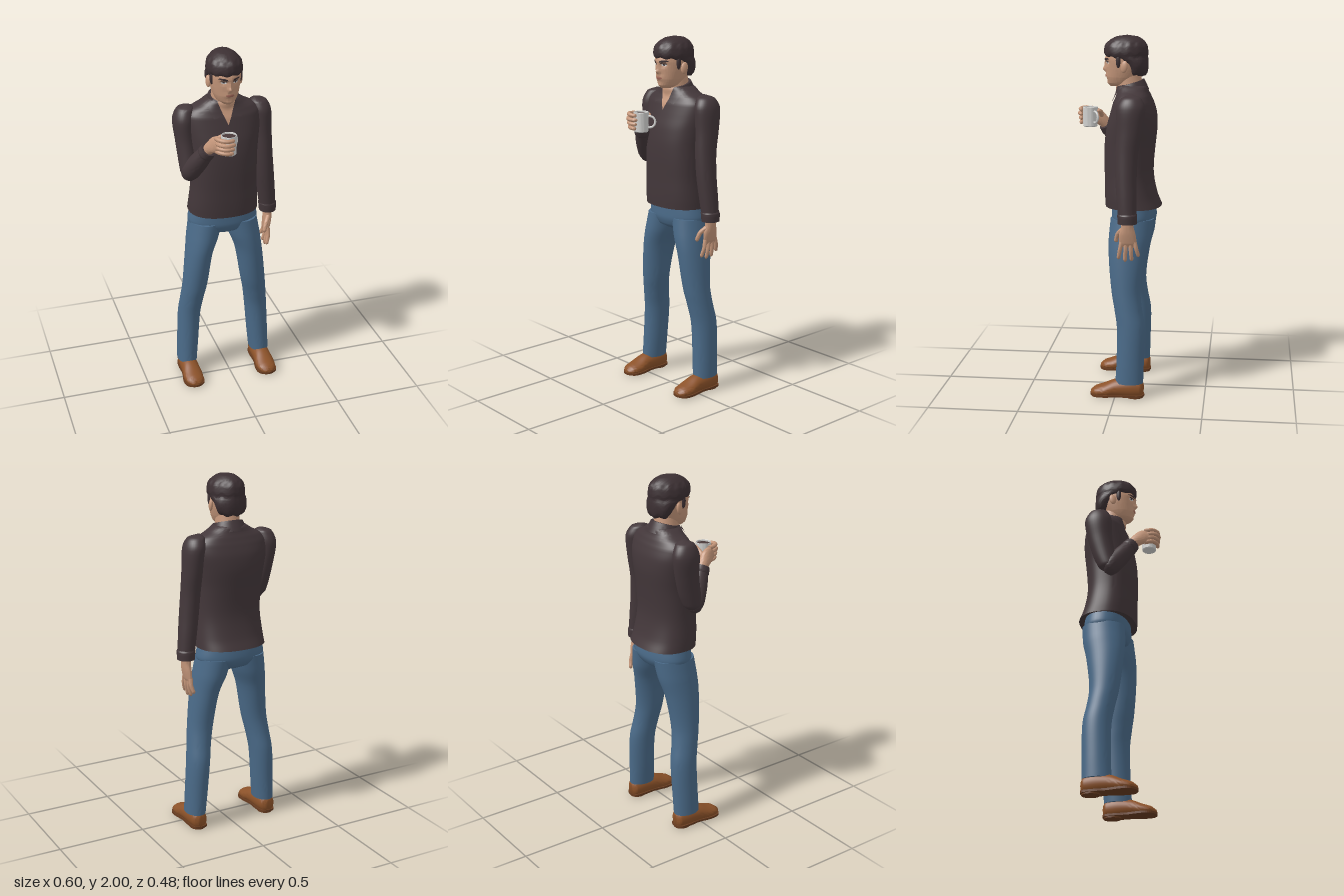
import * as THREE from 'three';
import { toCreasedNormals } from 'three/addons/utils/BufferGeometryUtils.js';

const paint = (name, color) => Object.assign(new THREE.MeshStandardMaterial({ color }), { name });
const V = (x, y, z) => new THREE.Vector3(x, y, z);
const X = V(1, 0, 0), Y = V(0, 1, 0), DOWN = V(0, -1, 0), Z = V(0, 0, 1);
const bump = (a, b) => Math.exp(-a * a - b * b);

export function createModel() {
  const shirt = paint('shirt brown', 0x43373a), hairMat = paint('hair brown', 0x3c3033);
  const jeans = paint('denim blue', 0x4a6a88), skin = paint('skin', 0xc4967a);
  const leather = paint('shoe leather', 0x8c5229), soleMat = paint('sole brown', 0x683c20);
  const china = paint('mug white', 0xd2d2d0), coffeeMat = paint('coffee', 0x4a3a3a);
  const lipMat = paint('lip', 0xa2695a);

  const model = new THREE.Group();
  const body = new THREE.Group();
  body.name = 'body';
  body.position.x = -0.017;
  model.add(body);

  const add = (parent, name, geo, mat) => {
    const m = new THREE.Mesh(geo, mat);
    m.name = name;
    parent.add(m);
    return m;
  };

  // Smooth skin through elliptical stations [x, y, z, a, b]; b lies along ref, a across it.
  function loft(stations, { ref = Z, axis = null, segs = 32, steps = 5, power = 2, rule = null } = {}) {
    const path = new THREE.CatmullRomCurve3(stations.map(s => V(s[0], s[1], s[2])));
    const size = new THREE.CatmullRomCurve3(stations.map(s => V(s[3], s[4], 0)));
    const n = (stations.length - 1) * steps, pos = [], idx = [];
    const sup = c => Math.sign(c) * Math.abs(c) ** (2 / power);
    for (let i = 0; i <= n; i++) {
      const p = path.getPoint(i / n), r = size.getPoint(i / n);
      const t = axis || path.getTangent(i / n);
      const u = ref.clone().addScaledVector(t, -ref.dot(t)).normalize();
      const v = t.clone().cross(u);
      for (let j = 0; j < segs; j++) {
        const a = j / segs * Math.PI * 2;
        const q = p.clone().addScaledVector(u, sup(Math.cos(a)) * Math.max(r.y, 0.001))
          .addScaledVector(v, sup(Math.sin(a)) * Math.max(r.x, 0.001));
        if (rule) rule(q);
        pos.push(q.x, q.y, q.z);
        if (i < n) {
          const k = (j + 1) % segs, o = i * segs;
          idx.push(o + j, o + k, o + segs + k, o + j, o + segs + k, o + segs + j);
        }
      }
    }
    // end caps
    for (let j = 1; j < segs - 1; j++) {
      const o = n * segs;
      idx.push(0, j + 1, j, o, o + j, o + j + 1);
    }
    const g = new THREE.BufferGeometry();
    g.setAttribute('position', new THREE.Float32BufferAttribute(pos, 3));
    g.setIndex(idx);
    return toCreasedNormals(g, 1.0);
  }

  // Thin face laid over the front of other meshes; rows are [y, xLeft, xRight] from top to bottom.
  const ray = new THREE.Raycaster();
  function drape(rows, targets, lift, cols = 8, sub = 6) {
    const pos = [], idx = [], n = (rows.length - 1) * sub;
    for (let i = 0; i <= n; i++) {
      const k = Math.min(Math.floor(i / sub), rows.length - 2), f = i / sub - k;
      const [y, xa, xb] = rows[k].map((a, m) => a + (rows[k + 1][m] - a) * f);
      for (let j = 0; j <= cols; j++) {
        const x = Math.min(xa, xb) + Math.abs(xb - xa) * j / cols;
        ray.set(V(x, y, 1), V(0, 0, -1));
        const hit = ray.intersectObjects(targets, false)[0];
        pos.push(x, y, (hit ? hit.point.z : -0.06) + lift);
        if (i < n && j < cols) {
          const a = i * (cols + 1) + j, b = a + cols + 1;
          idx.push(a, b, b + 1, a, b + 1, a + 1);
        }
      }
    }
    const g = new THREE.BufferGeometry();
    g.setAttribute('position', new THREE.Float32BufferAttribute(pos, 3));
    g.setIndex(idx);
    g.computeVertexNormals();
    return g;
  }

  // Shirt body: each ring is [y, half width, back z, front z]
  const torso = add(body, 'shirtBody', loft([
    [1.06, 0.197, -0.238, 0.075], [1.12, 0.194, -0.213, 0.078], [1.25, 0.185, -0.19, 0.08],
    [1.4, 0.188, -0.2, 0.08], [1.5, 0.2, -0.21, 0.068], [1.58, 0.212, -0.205, 0.047],
    [1.64, 0.21, -0.186, 0.03], [1.675, 0.18, -0.17, 0.015], [1.7, 0.13, -0.158, 0.008],
    [1.725, 0.092, -0.15, 0.004], [1.735, 0.07, -0.13, -0.01],
  ].map(([y, w, b, f]) => [0, y, (b + f) / 2, w, (f - b) / 2]), { axis: Y, segs: 64, power: 2.35 }), shirt);

  // Neck and tilted collar band
  const neck = add(body, 'neck', loft([[0, 1.6, -0.08, 0.07, 0.07], [0, 1.69, -0.065, 0.072, 0.074],
    [0, 1.75, -0.055, 0.066, 0.07], [0, 1.8, -0.05, 0.062, 0.065]], { axis: Y }), skin);
  const collarGeo = loft([[0, -0.04, 0, 0.098, 0.09], [0, 0, 0, 0.088, 0.084], [0, 0.022, 0, 0.08, 0.08]], { axis: Y, segs: 48 });
  const collar = add(body, 'collarBand', collarGeo.rotateX(0.28).translate(0, 1.718, -0.066), shirt);

  // Open neckline, button placket and collar points
  const front = [torso, neck, collar];
  add(body, 'openNeckline', drape([[1.725, -0.05, 0.05], [1.66, -0.026, 0.026], [1.6, 0, 0]], front, 0.004), skin);
  add(body, 'placket', drape([[1.6, -0.014, 0.014], [1.08, -0.014, 0.014]], front, 0.003, 2, 30), shirt);
  for (const s of [-1, 1])
    add(body, 'collarPoint', drape([[1.725, 0.05, 0.085], [1.69, 0.038, 0.1], [1.655, 0.03, 0.088], [1.638, 0.07, 0.076]]
      .map(([y, a, b]) => [y, s * a, s * b]), front, 0.009), shirt);

  // Head, with brow, sockets, nose, mouth and chin pushed out of an egg
  const face = q => {
    if (q.z < 0) return;
    const { x, y } = q;
    q.z += 0.019 * bump(x / 0.012, (y - 1.813) / 0.014) + 0.01 * bump(x / 0.01, (y - 1.84) / 0.022)
      - 0.01 * bump((Math.abs(x) - 0.032) / 0.017, (y - 1.85) / 0.011) + 0.005 * bump(x / 0.05, (y - 1.872) / 0.009)
      + 0.006 * bump(x / 0.026, (y - 1.78) / 0.012) + 0.006 * bump(x / 0.02, (y - 1.738) / 0.012);
  };
  const head = add(body, 'head', loft([
    [0, 1.722, -0.005, 0.03, 0.055], [0, 1.738, -0.012, 0.053, 0.073], [0, 1.77, -0.02, 0.069, 0.09],
    [0, 1.82, -0.03, 0.081, 0.102], [0, 1.87, -0.035, 0.086, 0.111], [0, 1.92, -0.037, 0.08, 0.105],
    [0, 1.96, -0.04, 0.055, 0.075], [0, 1.98, -0.04, 0.01, 0.01],
  ], { axis: Y, segs: 96, steps: 9, rule: face }), skin);
  add(body, 'lips', drape([[1.787, -0.01, 0.01], [1.78, -0.026, 0.026], [1.772, -0.013, 0.013]], [head], 0.002), lipMat);
  for (const s of [-1, 1]) {
    const patch = (name, rows, lift, mat) =>
      add(body, name, drape(rows.map(([y, a, b]) => [y, s * a, s * b]), [head], lift), mat);
    patch('eyeWhite', [[1.857, 0.024, 0.04], [1.851, 0.017, 0.048], [1.845, 0.024, 0.041]], 0.002, china);
    patch('iris', [[1.857, 0.029, 0.037], [1.851, 0.027, 0.038], [1.846, 0.029, 0.037]], 0.003, coffeeMat);
    patch('upperLid', [[1.861, 0.018, 0.046], [1.856, 0.015, 0.05]], 0.003, hairMat);
    patch('eyebrow', [[1.876, 0.028, 0.052], [1.87, 0.014, 0.06], [1.864, 0.013, 0.03]], 0.003, hairMat);
    const ear = add(body, 'ear', new THREE.SphereGeometry(1, 16, 12), skin);
    ear.scale.set(0.011, 0.033, 0.02);
    ear.position.set(s * 0.09, 1.833, -0.035);
    ear.rotation.set(-0.15, s * -0.3, 0);
    // sideburn
    const burn = add(body, 'sideburn', new THREE.SphereGeometry(1, 12, 10), hairMat);
    burn.scale.set(0.012, 0.04, 0.014);
    burn.position.set(s * 0.079, 1.865, -0.002);
  }

  // Short hair, with a low nape and a fringe
  add(body, 'hair', loft([
    [0, 1.783, -0.098, 0.055, 0.045], [0, 1.8, -0.1, 0.075, 0.054], [0, 1.83, -0.097, 0.088, 0.062],
    [0, 1.865, -0.075, 0.094, 0.084], [0, 1.888, -0.04, 0.095, 0.117], [0, 1.905, -0.037, 0.098, 0.122],
    [0, 1.94, -0.037, 0.092, 0.118], [0, 1.972, -0.04, 0.07, 0.094], [0, 1.992, -0.042, 0.042, 0.058],
    [0, 2.0, -0.042, 0.005, 0.005],
  ], { axis: Y, segs: 64, rule: q => {
    if (q.y < 1.96) q.y += 0.004 * Math.sin(Math.atan2(q.x, q.z + 0.04) * 11);
  } }), hairMat);

  // Jeans
  add(body, 'jeansSeat', loft([[0, 0.925, -0.075, 0.07, 0.06], [0, 0.95, -0.08, 0.15, 0.105], [0, 1.0, -0.084, 0.2, 0.125],
    [0, 1.06, -0.082, 0.19, 0.122], [0, 1.1, -0.08, 0.18, 0.115]], { axis: Y, segs: 48, power: 2.2 }), jeans);
  for (const s of [-1, 1]) {
    add(body, 'jeansLeg', loft([
      [0.1, 1.0, -0.082, 0.096, 0.12], [0.122, 0.9, -0.072, 0.09, 0.118], [0.147, 0.8, -0.06, 0.077, 0.104],
      [0.174, 0.6, -0.056, 0.071, 0.081], [0.19, 0.5, -0.07, 0.067, 0.077], [0.203, 0.4, -0.086, 0.065, 0.078],
      [0.216, 0.2, -0.084, 0.061, 0.077], [0.223, 0.085, -0.08, 0.057, 0.078],
    ].map(([x, ...r]) => [s * x, ...r]), { axis: DOWN, segs: 40 }), jeans);

    // Shoe upper, sole and heel
    add(body, 'shoe', loft([[-0.16, 0.05, 0.022, 0.03], [-0.145, 0.052, 0.042, 0.05], [-0.09, 0.055, 0.05, 0.058],
      [0, 0.05, 0.052, 0.05], [0.06, 0.036, 0.057, 0.038], [0.11, 0.03, 0.048, 0.026], [0.135, 0.024, 0.022, 0.012]]
      .map(([z, y, a, b]) => [s * 0.223, y, z, a, b]), { ref: Y, axis: Z, rule: q => { q.y = Math.max(q.y, 0.012); } }), leather);
    const outline = new THREE.Shape(new THREE.SplineCurve([[0, 0.165], [0.04, 0.15], [0.049, 0.09], [0.047, 0.02], [0.06, -0.06],
      [0.05, -0.115], [0, -0.14], [-0.05, -0.115], [-0.06, -0.06], [-0.047, 0.02], [-0.049, 0.09], [-0.04, 0.15], [0, 0.165]]
      .map(p => new THREE.Vector2(p[0], -p[1]))).getPoints(60));
    const sole = add(body, 'sole', new THREE.ExtrudeGeometry(outline, { depth: 0.012, bevelEnabled: false }), soleMat);
    sole.rotation.x = Math.PI / 2;
    sole.position.set(s * 0.223, 0.02, 0);
    const heel = add(body, 'heel', new THREE.CylinderGeometry(0.043, 0.043, 0.012, 24), soleMat);
    heel.scale.z = 1.15;
    heel.position.set(s * 0.223, 0.006, -0.11);
  }

  // Left arm hanging, with cuff
  add(model, 'leftSleeve', loft([[0.175, 1.695, -0.085, 0.01, 0.01], [0.19, 1.678, -0.085, 0.045, 0.052], [0.203, 1.62, -0.085, 0.059, 0.078],
    [0.21, 1.5, -0.078, 0.055, 0.07], [0.215, 1.38, -0.065, 0.053, 0.062], [0.225, 1.25, -0.062, 0.053, 0.058],
    [0.236, 1.15, -0.066, 0.051, 0.055], [0.248, 1.04, -0.071, 0.047, 0.05]], { axis: DOWN }), shirt);
  add(model, 'leftCuff', loft([[0.246, 1.06, -0.071, 0.047, 0.05], [0.248, 1.05, -0.071, 0.051, 0.054],
    [0.25, 1.005, -0.072, 0.048, 0.052]], { axis: DOWN }), shirt);

  // Right arm, folded at the elbow
  add(model, 'rightUpperSleeve', loft([[-0.21, 1.695, -0.085, 0.01, 0.01], [-0.222, 1.678, -0.085, 0.045, 0.052],
    [-0.235, 1.61, -0.085, 0.058, 0.078], [-0.229, 1.5, -0.075, 0.054, 0.07], [-0.222, 1.39, -0.05, 0.052, 0.064],
    [-0.222, 1.325, -0.03, 0.046, 0.054], [-0.222, 1.29, -0.02, 0.015, 0.02]], { axis: DOWN }), shirt);
  add(model, 'rightForearmSleeve', loft([[-0.231, 1.292, -0.045, 0.012, 0.012], [-0.226, 1.305, -0.032, 0.042, 0.042],
    [-0.21, 1.345, -0.008, 0.055, 0.055], [-0.182, 1.405, 0.033, 0.052, 0.052], [-0.148, 1.48, 0.08, 0.042, 0.042]], { ref: X }), shirt);
  add(model, 'rightCuff', loft([[-0.157, 1.46, 0.068, 0.043, 0.043], [-0.154, 1.466, 0.072, 0.047, 0.047],
    [-0.142, 1.494, 0.09, 0.043, 0.043]], { ref: X }), shirt);

  // Hands: palms as lofts, fingers as tapered lofts through a few points
  const finger = (name, pts, r, ref) => add(model, name, loft(pts.map((p, i) => {
    const k = r * (1 - 0.2 * i / (pts.length - 1));
    return [...p, k, k];
  }).concat([[...pts.at(-1).map((c, m) => c + (c - pts.at(-2)[m]) * 0.2), r * 0.25, r * 0.25]]), { ref, segs: 12, steps: 4 }), skin);
  add(model, 'leftPalm', loft([[0.25, 1.03, -0.072, 0.025, 0.034], [0.25, 0.99, -0.072, 0.024, 0.034],
    [0.247, 0.94, -0.072, 0.022, 0.046], [0.242, 0.89, -0.076, 0.016, 0.047], [0.24, 0.872, -0.077, 0.008, 0.035]], { axis: DOWN }), skin);
  [[-0.04, -0.022, 0.81], [-0.064, -0.058, 0.797], [-0.088, -0.094, 0.802], [-0.111, -0.13, 0.825]].forEach(([z0, z1, y1]) =>
    finger('leftFinger', [[0.243, 0.9, z0], [0.244, (0.9 + y1) / 2, (z0 + z1) / 2], [0.233, y1, z1]], 0.0125, Z));
  finger('leftThumb', [[0.247, 0.97, -0.045], [0.225, 0.94, -0.018], [0.212, 0.9, -0.006]], 0.014, Z);

  add(model, 'rightPalm', loft([[-0.152, 1.475, 0.075, 0.03, 0.027], [-0.14, 1.51, 0.105, 0.034, 0.028],
    [-0.125, 1.543, 0.145, 0.043, 0.022], [-0.116, 1.556, 0.178, 0.036, 0.014]], { ref: X }), skin);
  for (let i = 0; i < 4; i++) {
    const y = 1.588 - i * 0.024, e = Math.abs(i - 1) * 0.005;
    finger('rightFinger', [[-0.122, y - 0.005, 0.155], [-0.112, y, 0.207 - e], [-0.078, y - 0.002, 0.23 - e], [-0.038 - e, y - 0.004, 0.217]], 0.0128, Y);
  }
  finger('rightThumb', [[-0.13, 1.535, 0.115], [-0.09, 1.565, 0.113], [-0.042, 1.58, 0.118]], 0.0145, Y);

  // Mug of coffee
  const mug = new THREE.Group();
  mug.name = 'mug';
  mug.position.set(-0.053, 1.49, 0.168);
  model.add(mug);
  const wall = [[0, 0], [0.036, 0], [0.04, 0.005], [0.042, 0.108], [0.0405, 0.11], [0.038, 0.108], [0.037, 0.08], [0, 0.08]];
  add(mug, 'mugWall', toCreasedNormals(new THREE.LatheGeometry(wall.map(p => new THREE.Vector2(...p)), 36), 0.6), china);
  const coffee = add(mug, 'coffee', new THREE.CircleGeometry(0.0378, 36), coffeeMat);
  coffee.rotation.x = -Math.PI / 2;
  coffee.position.y = 0.1;
  const handle = add(mug, 'mugHandle', new THREE.TorusGeometry(0.031, 0.006, 10, 28), china);
  handle.rotation.y = 0.69;
  handle.position.set(0.036, 0.056, -0.03);
  return model;
}
